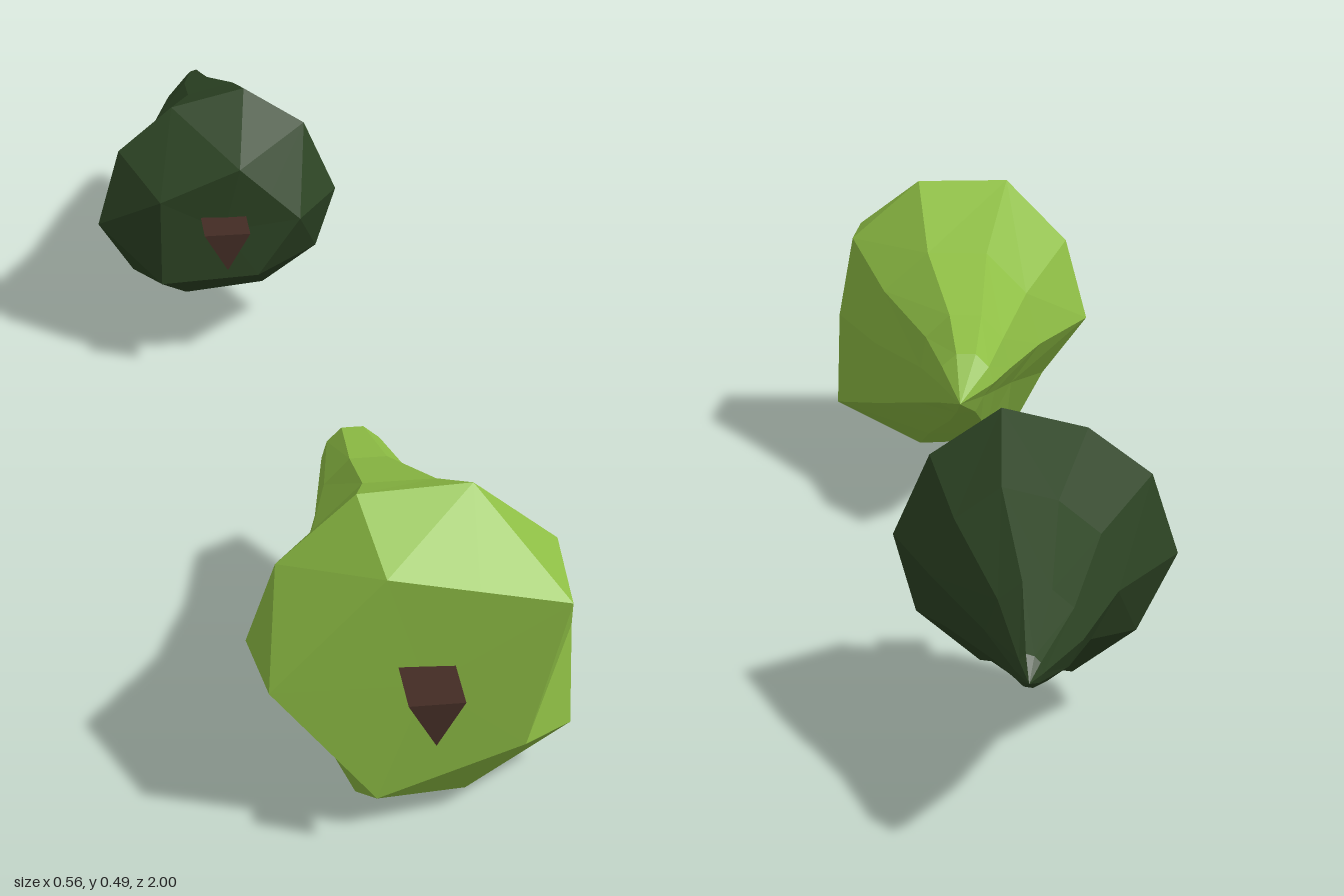
import * as THREE from 'three';

const mat = (name, color) => Object.assign(new THREE.MeshStandardMaterial({ color }), { name });

// Faceted crown along -z: a pentagonal underside, the widest ring, then that ring
// squeezed into the boxes [z, x0, x1, y0, y1] and closed at the tip.
function crownGeometry({ base, first, wide, boxes, tip }) {
  const n = wide.length;
  const under = wide.map((_, i) => {
    const k = (i - first + n) % n;
    const a = base[k >> 1], b = base[((k >> 1) + 1) % base.length];
    return k % 2 ? a.map((v, j) => (v + b[j]) / 2) : a;
  });
  const xs = wide.map(p => p[0]), ys = wide.map(p => p[1]);
  const x0 = Math.min(...xs), x1 = Math.max(...xs), y0 = Math.min(...ys), y1 = Math.max(...ys);
  const rings = [under, wide];
  for (const [z, a, b, c, d] of boxes) {
    rings.push(wide.map(p => [
      a + (b - a) * (p[0] - x0) / (x1 - x0),
      c + (d - c) * (p[1] - y0) / (y1 - y0),
      z,
    ]));
  }
  const centre = [0, 1, 2].map(j => base.reduce((s, p) => s + p[j], 0) / base.length);
  const pos = [];
  const tri = (...pts) => pts.forEach(p => pos.push(...p));
  for (let i = 0; i < n; i++) {
    const k = (i + 1) % n;
    tri(centre, under[i], under[k]);
    for (let r = 0; r < rings.length - 1; r++) {
      const a = rings[r], b = rings[r + 1];
      // alternate the diagonals so that the facets meet at the pentagon corners
      if ((i - first + n) % 2 === 0) {
        tri(a[i], b[i], b[k]);
        tri(a[i], b[k], a[k]);
      } else {
        tri(a[i], b[i], a[k]);
        tri(b[i], b[k], a[k]);
      }
    }
    const last = rings[rings.length - 1];
    tri(last[i], tip, last[k]);
  }
  const g = new THREE.BufferGeometry();
  g.setAttribute('position', new THREE.Float32BufferAttribute(pos, 3));
  g.computeVertexNormals(); // unshared corners give flat facets
  return g;
}

function makeTree(name, data, leaf, bark) {
  const tree = new THREE.Group();
  tree.name = name;
  const crown = new THREE.Mesh(crownGeometry(data), leaf);
  crown.name = 'crown';

  // three-sided trunk, one corner down
  const [x, y, zBack, zFront] = data.trunk;
  const g = new THREE.CylinderGeometry(0.043, 0.043, zFront - zBack, 3).toNonIndexed();
  g.rotateX(Math.PI / 2);
  g.computeVertexNormals();
  const trunk = new THREE.Mesh(g, bark);
  trunk.position.set(x, y, (zBack + zFront) / 2);
  trunk.name = 'trunk';
  tree.add(crown, trunk);
  return tree;
}

const lightTree = {
  first: 1,
  base: [
    [0.24, 0.378, 0.935], [0, 0.423, 0.92], [-0.15, 0.245, 0.9],
    [-0.005, 0.058, 0.895], [0.19, 0.145, 0.915],
  ],
  wide: [
    [0.272, 0.245, 0.79], [0.247, 0.385, 0.79], [0.13, 0.486, 0.8], [-0.025, 0.486, 0.81],
    [-0.13, 0.38, 0.8], [-0.167, 0.245, 0.775], [-0.09, 0.14, 0.79], [-0.022, 0.007, 0.81],
    [0.13, 0, 0.81], [0.277, 0.083, 0.79],
  ],
  boxes: [
    [0.64, -0.085, 0.205, 0.07, 0.395],
    [0.47, -0.035, 0.118, 0.145, 0.33],
    [0.335, -0.008, 0.083, 0.2, 0.3],
  ],
  tip: [0.045, 0.235, 0.265],
  trunk: [0.055, 0.26, 0.88, 1],
};

const darkTree = {
  first: 0,
  base: [
    [0.05, 0.27, -0.385], [-0.05, 0.37, -0.375], [-0.18, 0.31, -0.39],
    [-0.18, 0.16, -0.39], [-0.02, 0.17, -0.385],
  ],
  wide: [
    [0.122, 0.27, -0.49], [0.07, 0.39, -0.5], [-0.03, 0.458, -0.5], [-0.15, 0.43, -0.5],
    [-0.24, 0.36, -0.49], [-0.278, 0.237, -0.47], [-0.22, 0.133, -0.5], [-0.13, 0.075, -0.515],
    [0, 0.09, -0.51], [0.09, 0.16, -0.5],
  ],
  boxes: [
    [-0.66, -0.19, 0.065, 0.14, 0.395],
    [-0.84, -0.14, -0.012, 0.188, 0.325],
    [-0.975, -0.088, -0.052, 0.232, 0.278],
  ],
  tip: [-0.07, 0.247, -1],
  trunk: [-0.077, 0.26, -0.4, -0.32],
};

export function createModel() {
  const bark = mat('bark brown', 0x432c24);
  const model = new THREE.Group();
  model.name = 'trees';
  model.add(
    makeTree('lightTree', lightTree, mat('light leaf green', 0x8fbf45), bark),
    makeTree('darkTree', darkTree, mat('dark leaf green', 0x2d4424), bark),
  );
  return model;
}
